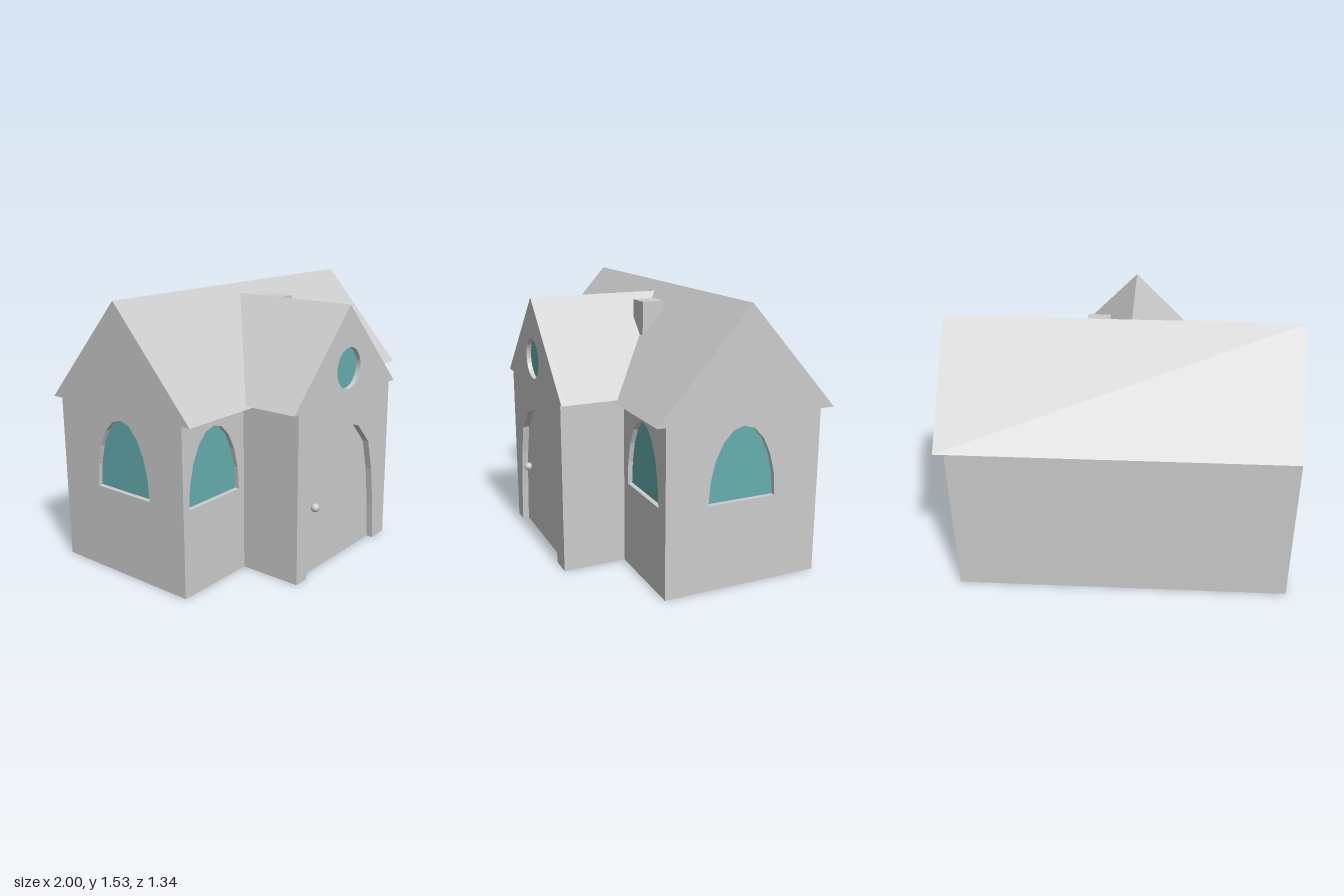
import * as THREE from 'three';

const grey = new THREE.MeshStandardMaterial({ color: 0xcccccc, flatShading: true });
const smooth = new THREE.MeshStandardMaterial({ color: 0xcccccc });
const teal = new THREE.MeshStandardMaterial({ color: 0x65aeae });

const RECESS = 0.03;
const DOOR_RECESS = 0.04;

function add(parent, name, geometry, material = grey) {
  const mesh = new THREE.Mesh(geometry, material);
  mesh.name = name;
  parent.add(mesh);
  return mesh;
}

// Box given by its lowest and highest corners
function block(parent, name, [x0, y0, z0], [x1, y1, z1]) {
  const mesh = add(parent, name, new THREE.BoxGeometry(x1 - x0, y1 - y0, z1 - z0));
  mesh.position.set((x0 + x1) / 2, (y0 + y1) / 2, (z0 + z1) / 2);
  return mesh;
}

const points = (list) => list.map(([x, y]) => new THREE.Vector2(x, y));
const rectangle = (x0, x1, y0, y1) => points([[x0, y0], [x1, y0], [x1, y1], [x0, y1]]);

// Points along an ellipse from angle 0 to the given sweep
function ellipse(cx, cy, rx, ry, sweep, segments, closed) {
  return Array.from({ length: closed ? segments : segments + 1 }, (_, i) => {
    const a = (sweep * i) / segments;
    return new THREE.Vector2(cx + rx * Math.cos(a), cy + ry * Math.sin(a));
  });
}
const archWindow = (cx) => ellipse(cx, 0.485, 0.2, 0.41, Math.PI, 10, false);

// Flat slab with openings, its outer face at z = 0, each opening glazed at its back
function panel(parent, name, outline, openings, depth) {
  const group = new THREE.Group();
  group.name = name;
  const shape = new THREE.Shape(outline);
  shape.holes = openings.map((o) => new THREE.Path(o));
  const geometry = new THREE.ExtrudeGeometry(shape, { depth, bevelEnabled: false });
  add(group, name + 'Slab', geometry.translate(0, 0, -depth));
  for (const opening of openings) {
    const pane = add(group, 'windowPane', new THREE.ShapeGeometry(new THREE.Shape(opening)), teal);
    pane.position.z = -depth + 0.003;
  }
  parent.add(group);
  return group;
}

// Triangular prism running along z
function prism(outline, z0, z1) {
  const shape = new THREE.Shape(outline);
  return new THREE.ExtrudeGeometry(shape, { depth: z1 - z0, bevelEnabled: false }).translate(0, 0, z0);
}

export function createModel() {
  const house = new THREE.Group();
  house.name = 'house';

  // Main body: a core with recessed-window walls on the front and both ends
  const left = 0.955, right = -0.985, back = -0.62, front = 0.295, eaves = 0.955;
  block(house, 'mainBody', [right + RECESS, 0, back], [left - RECESS, eaves, front - RECESS]);
  panel(house, 'frontWall', rectangle(right, left, 0, eaves),
    [archWindow(-0.743), archWindow(0.67)], RECESS).position.z = front;
  for (const side of [1, -1]) {
    const zs = [-side * back, -side * (front - RECESS)].sort((a, b) => a - b);
    const wall = panel(house, side > 0 ? 'leftEndWall' : 'rightEndWall',
      rectangle(zs[0], zs[1], 0, eaves), [archWindow(side * 0.15)], RECESS);
    wall.rotation.y = (side * Math.PI) / 2;
    wall.position.x = side > 0 ? left : right;
  }

  // Main roof, ridge along x
  const mainRoof = add(house, 'mainRoof',
    prism(points([[-0.365, 0.95], [0.67, 0.95], [0.15, 1.53]]), -1, 1));
  mainRoof.rotation.y = Math.PI / 2;

  // Porch with an arched door opening that reaches the ground
  const porchFront = 0.66;
  block(house, 'porchBody', [-0.5, 0, 0.2], [0.42, 0.97, porchFront - DOOR_RECESS]);
  const arch = [[1, 0], [0.96, 0.28], [0.88, 0.56], [0.75, 0.785], [0.42, 0.94]];
  const doorway = [
    ...arch.map(([u, v]) => [-0.057 - 0.353 * u, 0.815 * v]),
    [-0.05, 0.815],
    ...arch.map(([u, v]) => [-0.057 + 0.353 * u, 0.815 * v]).reverse(),
  ];
  panel(house, 'porchWall',
    points([[-0.5, 0], ...doorway, [0.42, 0], [0.42, 0.97], [-0.5, 0.97]]),
    [], DOOR_RECESS).position.z = porchFront;
  const door = add(house, 'door', new THREE.ShapeGeometry(new THREE.Shape(points(doorway))));
  door.geometry.computeVertexNormals();
  door.position.z = porchFront - DOOR_RECESS + 0.002;
  const knob = add(house, 'doorKnob', new THREE.SphereGeometry(0.025, 16, 12), smooth);
  knob.position.set(-0.307, 0.385, 0.641);

  // Porch roof, ridge along z, with a round window in the gable
  const gable = points([[-0.55, 0.965], [0.465, 0.965], [-0.042, 1.475]]);
  const gableFront = 0.668;
  add(house, 'porchRoof', prism(gable, -0.1, gableFront - RECESS));
  panel(house, 'porchGable', gable,
    [ellipse(-0.042, 1.125, 0.117, 0.117, Math.PI * 2, 32, true)], RECESS).position.z = gableFront;

  // Chimney
  block(house, 'chimney', [0.085, 1.1, -0.04], [0.215, 1.45, 0.09]);

  return house;
}
